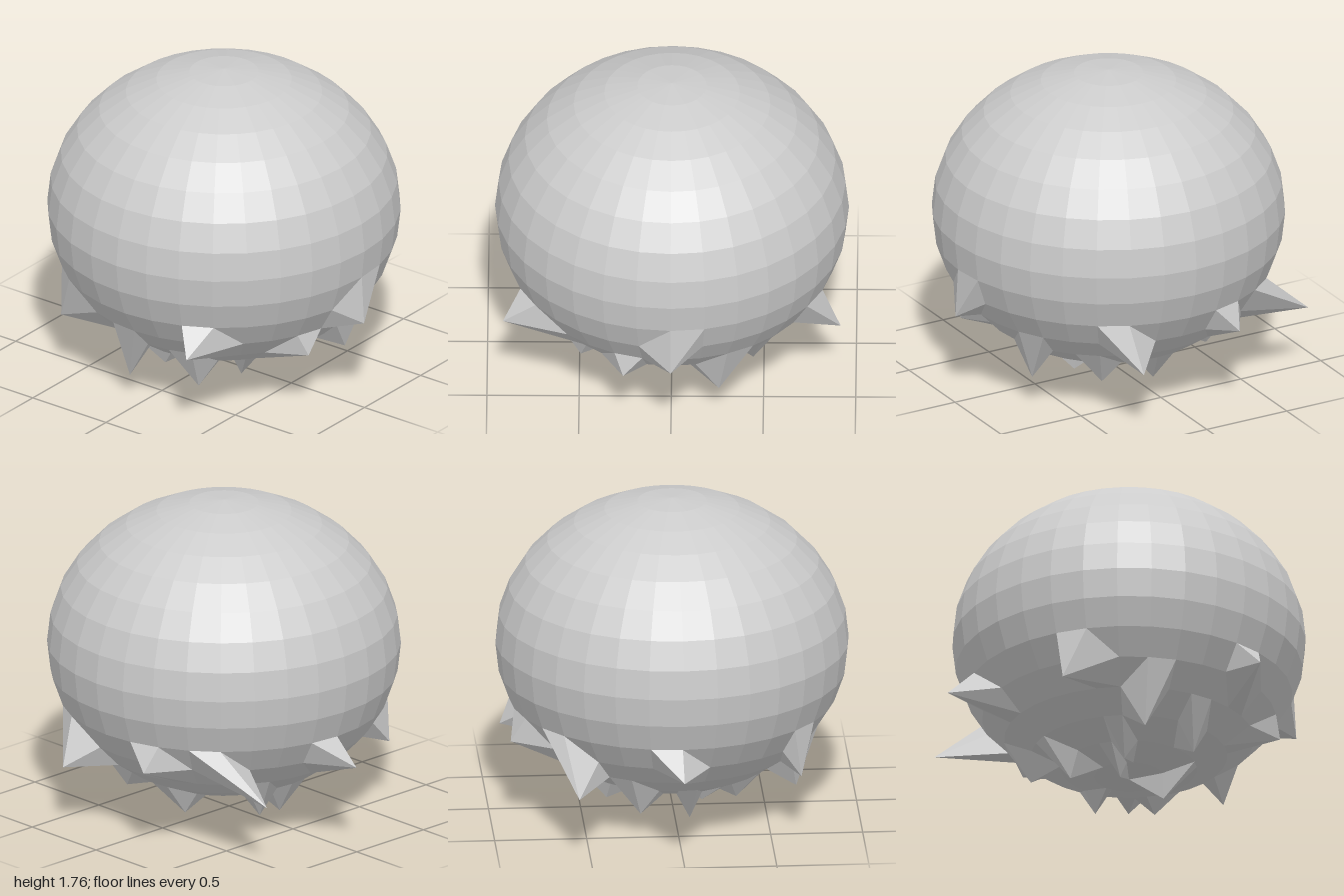
import * as THREE from 'three';

const RINGS = 16, SIDES = 32;
const CENTER = new THREE.Vector3(0.04, 0.94, 0), RADIUS = 0.96, HEIGHT = 0.82;

// Spikes: a grid point (ring from the top, step from the front towards +x)
// pulled out by dx, dy, dz; "flip" turns the diagonals around it.
const SPIKES = [
  // upper, outward spikes
  { ring: 10, step: 8, pull: [0.07, -0.12, 0], flip: true },
  { ring: 11, step: 3, pull: [0, 0, 0.25] },
  { ring: 11, step: -3, pull: [-0.16, -0.13, 0] },
  { ring: 11, step: -8, pull: [-0.24, 0, 0] },
  { ring: 11, step: -12, pull: [-0.36, -0.12, 0] },
  { ring: 11, step: 14, pull: [0, -0.12, -0.18] },
  { ring: 11, step: 18, pull: [0, 0, -0.16] },
  { ring: 12, step: 6, pull: [0.15, 0, 0], flip: true },
  // lower, hanging spikes
  { ring: 12, step: -1, pull: [0, -0.23, 0], flip: true },
  { ring: 12, step: 10, pull: [0, -0.185, 0], flip: true },
  { ring: 13, step: 2, pull: [0, -0.16, 0] },
  { ring: 13, step: 13, pull: [0, -0.11, 0] },
  { ring: 13, step: -10, pull: [0, -0.14, 0] },
  { ring: 14, step: -7, pull: [0, -0.14, 0] },
  { ring: 14, step: -2, pull: [0, -0.105, 0] },
  { ring: 14, step: 17, pull: [0, -0.12, 0] },
  { ring: 15, step: 6, pull: [0, -0.136, 0] },
  { ring: 15, step: -3, pull: [0, -0.085, 0] },
];

const wrap = (step) => (step + SIDES) % SIDES;
const key = (ring, step) => ring * SIDES + wrap(step);

function spikedDomeGeometry() {
  const spikes = new Map(SPIKES.map((s) => [key(s.ring, s.step), s]));
  const positions = [], index = [];

  // squashed sphere grid with the spike points pulled out
  for (let ring = 0; ring <= RINGS; ring++) {
    const polar = (ring / RINGS) * Math.PI;
    for (let step = 0; step < SIDES; step++) {
      const turn = (step / SIDES) * Math.PI * 2;
      const p = new THREE.Vector3(
        RADIUS * Math.sin(polar) * Math.sin(turn),
        HEIGHT * Math.cos(polar),
        RADIUS * Math.sin(polar) * Math.cos(turn)
      ).add(CENTER);
      const spike = spikes.get(key(ring, step));
      if (spike) p.add(new THREE.Vector3(...spike.pull));
      positions.push(p.x, p.y, p.z);
    }
  }

  // two triangles per grid cell, one at the poles
  for (let ring = 0; ring < RINGS; ring++) {
    for (let step = 0; step < SIDES; step++) {
      const a = key(ring, step), b = key(ring, step + 1);
      const d = key(ring + 1, step), c = key(ring + 1, step + 1);
      const flip = [a, b, c, d].some((i) => spikes.get(i)?.flip);
      if (ring === 0) index.push(a, d, c);
      else if (ring === RINGS - 1) index.push(a, d, b);
      else if (flip) index.push(a, d, b, b, d, c);
      else index.push(a, d, c, a, c, b);
    }
  }

  const geometry = new THREE.BufferGeometry();
  geometry.setAttribute('position', new THREE.Float32BufferAttribute(positions, 3));
  geometry.setIndex(index);
  const faceted = geometry.toNonIndexed();
  faceted.computeVertexNormals();
  return faceted;
}

export function createModel() {
  const group = new THREE.Group();
  group.name = 'spikedDome';
  const material = new THREE.MeshStandardMaterial({
    color: 0xcccccc, flatShading: true, side: THREE.DoubleSide,
  });
  const body = new THREE.Mesh(spikedDomeGeometry(), material);
  body.name = 'bodyWithSpikes';
  group.add(body);
  return group;
}
